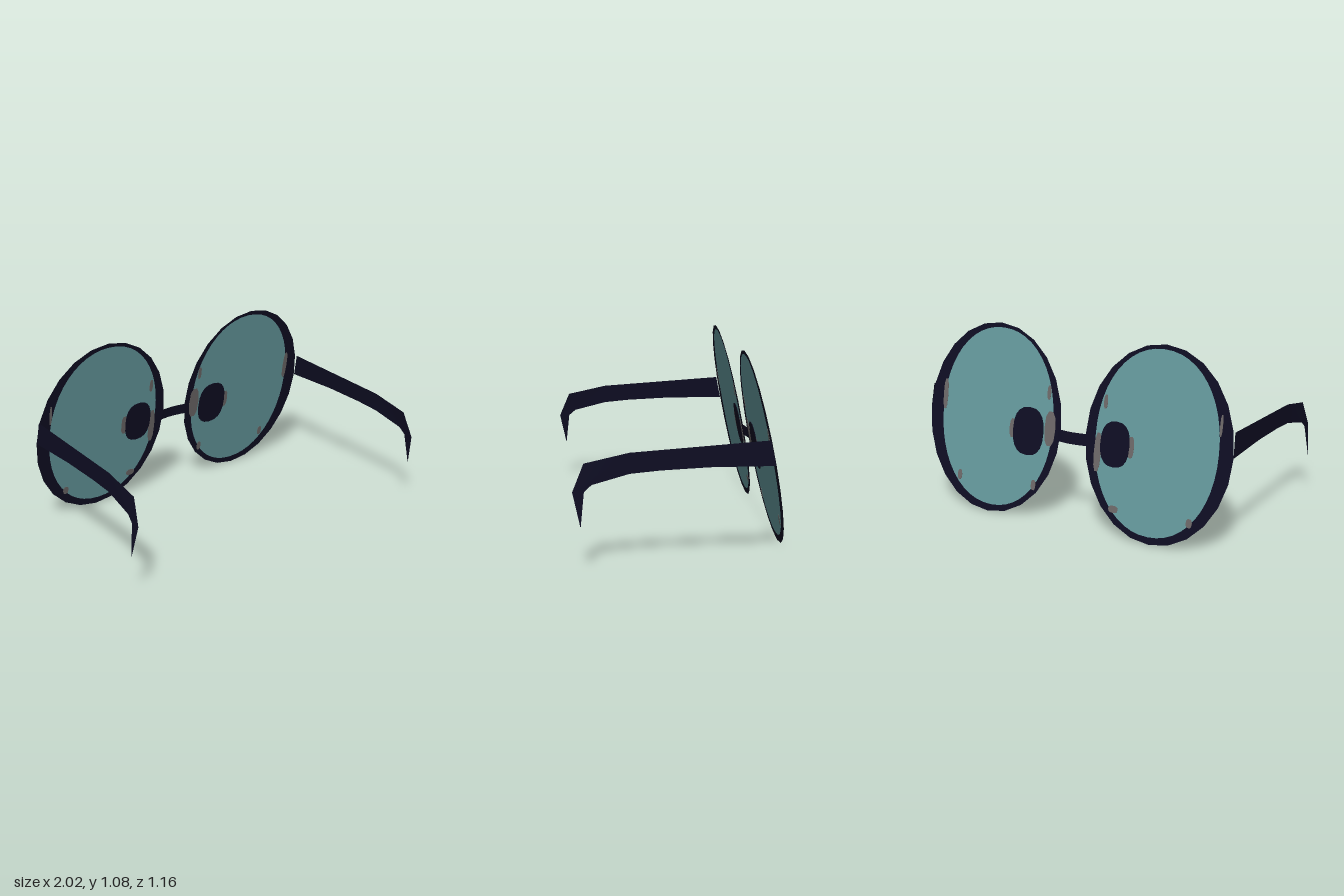
import * as THREE from 'three';

const frameMat = new THREE.MeshStandardMaterial({ color: 0x0e0d22, side: THREE.DoubleSide });
frameMat.name = 'navy frame';
const lensMat = new THREE.MeshStandardMaterial({ color: 0x64989c, side: THREE.DoubleSide });
lensMat.name = 'teal lens';
const edgeMat = new THREE.MeshStandardMaterial({ color: 0x6b6766, side: THREE.DoubleSide });
edgeMat.name = 'grey edge';

// The lens plane leans: its top is nearer +z than its bottom
const lean = (y) => -0.48 + 0.187 * (y - 0.54);

// Moves every vertex by a rule and refreshes the normals
function remap(geo, rule) {
  const p = geo.attributes.position;
  for (let i = 0; i < p.count; i++) p.setXYZ(i, ...rule(p.getX(i), p.getY(i), p.getZ(i)));
  geo.computeVertexNormals();
  return geo;
}

function part(name, geo, mat) {
  const m = new THREE.Mesh(geo, mat);
  m.name = name;
  return m;
}

// Polygonal ellipse; a power below 1 makes it squarer
function ellipse(cx, cy, rx, ry, sides, power = 1) {
  const pts = [];
  const bend = (v) => Math.sign(v) * Math.abs(v) ** power;
  for (let i = 0; i < sides; i++) {
    const a = (i / sides) * Math.PI * 2;
    pts.push(new THREE.Vector2(cx + rx * bend(Math.cos(a)), cy + ry * bend(Math.sin(a))));
  }
  return pts;
}

const leaned = (geo) => remap(geo, (x, y, z) => [x, y, lean(y) + z]);
const sheet = (shape) => leaned(new THREE.ShapeGeometry(shape));

// Thin plate lying through the lens, visible on both sides
function plate(points, depth) {
  const geo = new THREE.ExtrudeGeometry(new THREE.Shape(points), { depth, bevelEnabled: false });
  return leaned(geo.translate(0, 0, -depth / 2));
}

function eyepiece(name, { rim, glass, pad, patches }) {
  const g = new THREE.Group();
  g.name = name;
  const inner = ellipse(...glass, 48, 0.95);
  const ring = new THREE.Shape(ellipse(...rim, 24));
  ring.holes.push(new THREE.Path(inner));
  g.add(part('rim', sheet(ring), frameMat));
  g.add(part('lens', sheet(new THREE.Shape(inner)), lensMat));
  g.add(part('nosePad', plate(ellipse(...pad, 20, 0.8), 0.006), frameMat));
  for (const p of patches) g.add(part('edgePatch', plate(ellipse(...p, 10, 0.8), 0.003), edgeMat));
  return g;
}

// Side arm: a thin sheet outlined in (z, y), flaring outward at the ear hook
function temple(name, side) {
  const outline = [
    [-0.45, 0.675], [0.285, 0.63], [0.52, 0.58], [0.58, 0.435], [0.54, 0.25], [0.52, 0.435],
    [0.48, 0.47], [0.285, 0.52], [0.13, 0.533], [-0.13, 0.543], [-0.478, 0.54],
  ].map(([z, y]) => new THREE.Vector2(z, y));
  const geo = remap(new THREE.ShapeGeometry(new THREE.Shape(outline)), (z, y) => {
    const flare = z > 0.45 ? Math.max(0, 0.58 - y) * 0.08 : 0;
    return [side * (0.967 + 0.006 * z + flare - 0.04 * (y - 0.58)), y, z];
  });
  return part(name, geo, frameMat);
}

export function createModel() {
  const model = new THREE.Group();
  model.name = 'roundGlasses';

  model.add(eyepiece('rightEyepiece', {
    rim: [-0.524, 0.54, 0.443, 0.538],
    glass: [-0.513, 0.547, 0.37, 0.505],
    pad: [-0.267, 0.507, 0.09, 0.125],
    patches: [
      [-0.163, 0.45, 0.022, 0.11], [-0.365, 0.505, 0.02, 0.06], [-0.19, 0.73, 0.012, 0.04],
      [-0.29, 0.155, 0.03, 0.02], [-0.882, 0.7, 0.008, 0.06], [-0.75, 0.16, 0.018, 0.025],
    ],
  }));
  model.add(eyepiece('leftEyepiece', {
    rim: [0.521, 0.54, 0.443, 0.538],
    glass: [0.505, 0.547, 0.373, 0.505],
    pad: [0.29, 0.497, 0.1, 0.135],
    patches: [
      [0.15, 0.53, 0.035, 0.1], [0.395, 0.5, 0.02, 0.055], [0.868, 0.63, 0.016, 0.09],
      [0.172, 0.73, 0.012, 0.04], [0.23, 0.2, 0.015, 0.03], [0.73, 0.18, 0.015, 0.03],
    ],
  }));

  // Bridge: a strip bowed slightly away from the arms
  const bridge = new THREE.PlaneGeometry(0.19, 0.066, 6, 1).translate(0, 0.504, 0);
  model.add(part('bridge', remap(bridge, (x, y) =>
    [x, y, lean(y) - 0.012 * (1 - (x / 0.095) ** 2)]), frameMat));

  model.add(temple('leftTemple', 1), temple('rightTemple', -1));
  return model;
}
